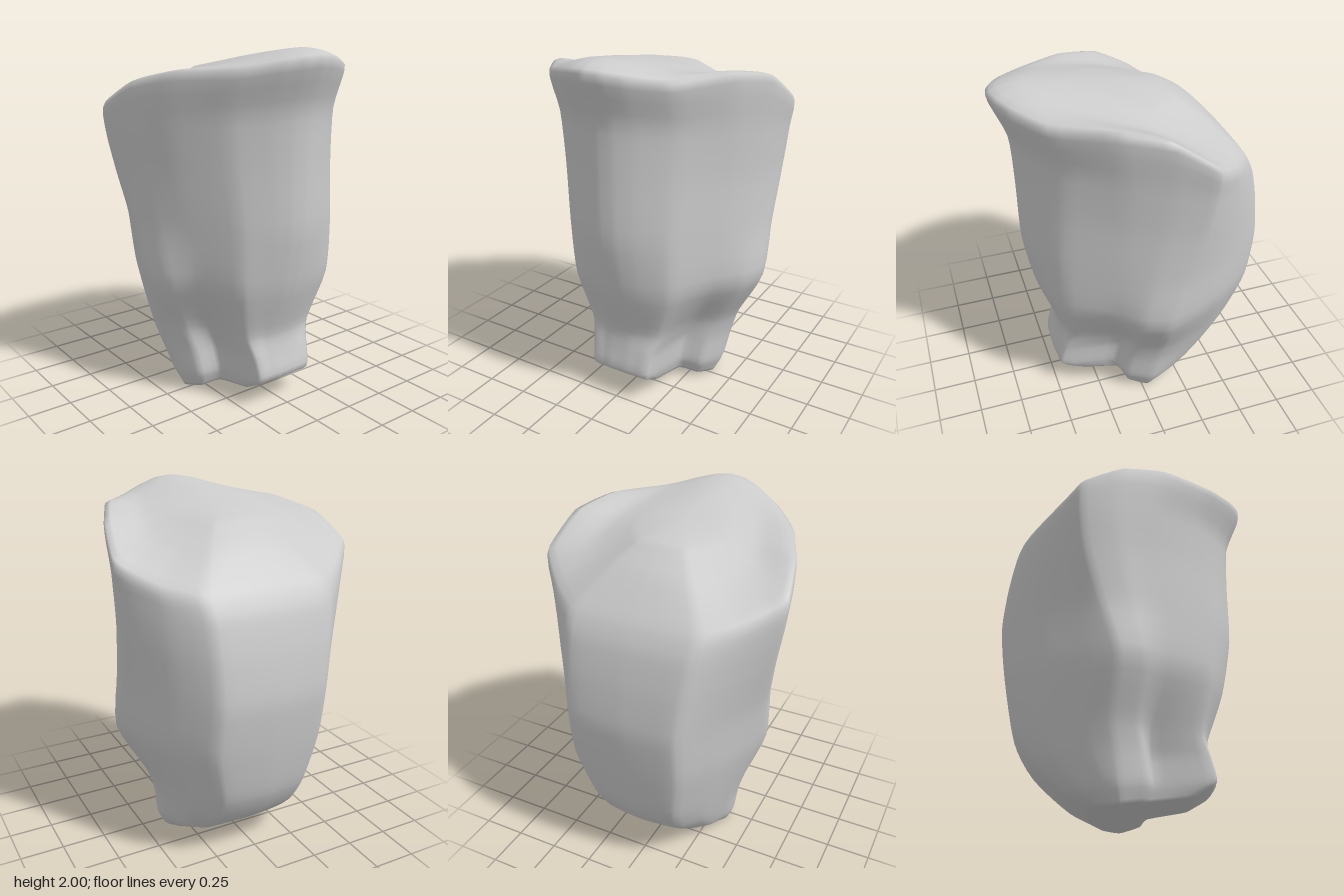
import * as THREE from 'three';

// Half outlines from front centre to back centre (side, depth): upper one tapers to the front, lower one has a square snout
const upper = [[0, 1], [0.13, 0.98], [0.28, 0.92], [0.53, 0.77], [0.8, 0.48], [0.94, 0.22], [1, 0], [0.92, -0.22], [0.75, -0.57], [0.51, -0.95], [0.25, -0.99], [0, -1]];
const lower = [[0, 1], [0.13, 1], [0.25, 0.99], [0.46, 0.95], [0.54, 0.36], [0.85, 0.27], [1, 0], [0.96, -0.27], [0.81, -0.66], [0.56, -0.93], [0.28, -0.98], [0, -1]];

// Slices upward: front y, front z, back y, back z, right width, left width, z of widest point, snout share, side drop, side lift
const slices = [
  [0.09, 0.36, 0.02, -0.20, 0.35, 0.37, -0.03, 0.9, 0.04, 0],
  [0.17, 0.48, 0.09, -0.35, 0.39, 0.415, -0.04, 1, 0.02, 0],
  [0.30, 0.46, 0.24, -0.53, 0.42, 0.44, -0.06, 0.95, 0, 0],
  [0.43, 0.45, 0.42, -0.63, 0.465, 0.495, -0.08, 0.65, 0, 0],
  [0.72, 0.55, 0.72, -0.69, 0.57, 0.65, -0.05, 0.28, 0, 0],
  [1.05, 0.61, 1.00, -0.72, 0.595, 0.65, -0.14, 0.12, 0, 0],
  [1.40, 0.615, 1.25, -0.69, 0.645, 0.66, -0.22, 0.05, 0, 0],
  [1.70, 0.63, 1.45, -0.64, 0.69, 0.68, -0.25, 0, 0, 0.06],
  [1.95, 0.72, 1.58, -0.57, 0.69, 0.69, -0.24, 0, 0.02, 0.19],
  [2.00, 0.58, 1.76, -0.40, 0.46, 0.46, -0.12, 0, 0.06, 0.05],
  [1.98, 0.38, 1.88, -0.23, 0.24, 0.24, -0.03, 0, 0.03, 0],
];

// Points around one slice, tilted from front to back
function slicePoints([yF, zF, yB, zB, wR, wL, zMid, snout, drop, lift], steps) {
  const pts = upper.map(([u, v], i) => [u + (lower[i][0] - u) * snout, v + (lower[i][1] - v) * snout]);
  const loop = [...pts, ...pts.slice(1, -1).reverse().map(([u, v]) => [-u, v])];
  const corners = loop.map(([u, v]) => {
    const z = v > 0 ? zMid + (zF - zMid) * v : zMid + (zMid - zB) * v;
    const t = (z - zB) / (zF - zB);
    const raised = lift * (u > 0 ? u : -0.65 * u) * (4 * t * (1 - t)) ** 3;
    return new THREE.Vector3(u * (u > 0 ? wL : wR), yB + (yF - yB) * t - drop * u * u + raised, z);
  });
  const curve = new THREE.CatmullRomCurve3(corners, true, 'catmullrom', 0.25);
  return Array.from({ length: steps }, (_, i) => curve.getPoint(i / steps));
}

// Skin through the slices, closed at both ends
function skin(steps, rows) {
  const rings = slices.map((s) => slicePoints(s, steps));
  const rails = rings[0].map((_, i) => new THREE.CatmullRomCurve3(rings.map((r) => r[i]), false, 'catmullrom', 0.35));
  const pos = [];
  const index = [];
  for (let r = 0; r <= rows; r++) {
    for (const rail of rails) pos.push(...rail.getPoint(r / rows).toArray());
  }
  for (let r = 0; r < rows; r++) {
    for (let i = 0; i < steps; i++) {
      const a = r * steps + i;
      const b = r * steps + (i + 1) % steps;
      index.push(a, b, b + steps, a, b + steps, a + steps);
    }
  }
  const bottom = pos.length / 3;
  pos.push(0, 0.05, 0.05, 0, 1.94, 0.08);
  const last = rows * steps;
  for (let i = 0; i < steps; i++) {
    const j = (i + 1) % steps;
    index.push(bottom, j, i, bottom + 1, last + i, last + j);
  }
  const geo = new THREE.BufferGeometry();
  geo.setAttribute('position', new THREE.Float32BufferAttribute(pos, 3));
  geo.setIndex(index);
  geo.computeVertexNormals();
  return geo;
}

export function createModel() {
  const group = new THREE.Group();
  group.name = 'foldedLump';
  const material = new THREE.MeshStandardMaterial({ color: 0xcccccc, side: THREE.DoubleSide });
  const body = new THREE.Mesh(skin(88, 40), material);
  body.name = 'body';
  group.add(body);
  return group;
}
